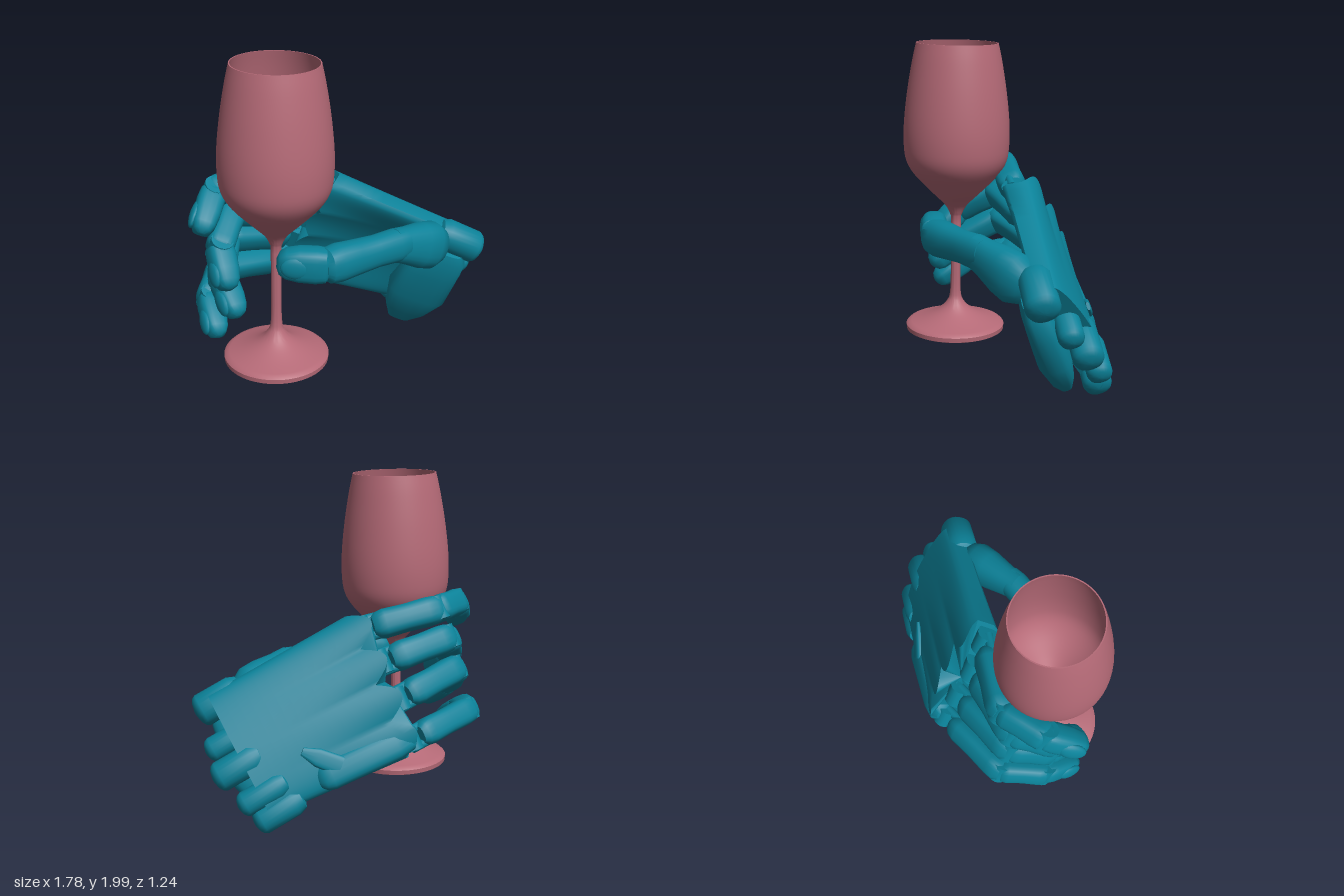
import * as THREE from 'three';
import { toCreasedNormals } from 'three/addons/utils/BufferGeometryUtils.js';

const V = (x, y, z) => new THREE.Vector3(x, y, z);
const teal = new THREE.MeshStandardMaterial({ color: 0x0b8299 });
const rose = new THREE.MeshStandardMaterial({ color: 0xb56a77, side: THREE.DoubleSide });

function add(group, name, geometry, material = teal) {
  const mesh = new THREE.Mesh(geometry, material);
  mesh.name = name;
  group.add(mesh);
}

// Closed skin through equal-sized rings of points
function loft(rings) {
  const m = rings[0].length, pos = [], idx = [];
  rings.forEach(r => r.forEach(p => pos.push(p.x, p.y, p.z)));
  for (let i = 0; i < rings.length - 1; i++)
    for (let j = 0; j < m; j++) {
      const k = (j + 1) % m, a = i * m + j, b = i * m + k;
      idx.push(a, b, a + m, b, b + m, a + m);
    }
  [0, rings.length - 1].forEach(i => {
    const c = rings[i].reduce((s, p) => s.add(p), V(0, 0, 0)).divideScalar(m), n = pos.length / 3;
    pos.push(c.x, c.y, c.z);
    for (let j = 0; j < m; j++) {
      const a = i * m + j, b = i * m + (j + 1) % m;
      if (i) idx.push(a, b, n); else idx.push(b, a, n);
    }
  });
  const g = new THREE.BufferGeometry();
  g.setAttribute('position', new THREE.Float32BufferAttribute(pos, 3));
  g.setIndex(idx);
  return toCreasedNormals(g, 0.7);
}

// Axes of a limb section: f along it, u across (hinge axis), v towards its back
function frame(a, b, hinge) {
  const f = b.clone().sub(a).normalize();
  const u = hinge.clone().addScaledVector(f, -hinge.dot(f)).normalize();
  return { f, u, v: f.clone().cross(u) };
}

// Soft-box segment from a to b; stations are [position 0..1, scale]
function segment(a, b, hinge, w, d, stations, p = 0.65) {
  const { u, v } = frame(a, b, hinge), m = 24;
  const pw = t => Math.sign(t) * Math.pow(Math.abs(t), p);
  return loft(stations.map(([t, s]) => Array.from({ length: m }, (_, j) => {
    const q = j / m * Math.PI * 2;
    return a.clone().lerp(b, t).addScaledVector(u, pw(Math.cos(q)) * w * s).addScaledVector(v, pw(Math.sin(q)) * d * s);
  })));
}
const PHALANX = [[-0.04, 0.65], [0.03, 0.9], [0.15, 1], [0.5, 0.95], [0.85, 1], [1, 0.95], [1.08, 0.7]];
const TIP = [[-0.05, 0.7], [0.03, 0.93], [0.25, 1], [0.65, 0.97], [0.95, 0.84], [1.1, 0.62], [1.17, 0.25]];
const ROD = [[0, 0.15], [0.03, 0.6], [0.08, 0.88], [0.15, 1], [0.8, 1], [0.95, 0.8], [1, 0.35]];

function rod(a, b, r) {
  const g = new THREE.CylinderGeometry(r, r, a.distanceTo(b), 16);
  const q = new THREE.Quaternion().setFromUnitVectors(V(0, 1, 0), b.clone().sub(a).normalize());
  const c = a.clone().lerp(b, 0.5);
  return g.applyQuaternion(q).translate(c.x, c.y, c.z);
}

function nail(group, a, b, hinge, w, d) {
  const { f, u, v } = frame(a, b, hinge);
  const g = new THREE.SphereGeometry(1, 16, 10).scale(w * 0.68, d * 0.3, a.distanceTo(b) * 0.36);
  g.applyMatrix4(new THREE.Matrix4().makeBasis(u, v, f));
  const c = a.clone().lerp(b, 0.72).addScaledVector(v, d * 0.76);
  add(group, 'nail', g.translate(c.x, c.y, c.z));
}

// Back-of-hand quad: s runs wrist to knuckles, t index to little finger, h into the palm
const A = V(-0.06, 1.22, -0.15), B = V(0.8, 0.77, -0.27), C = V(0.45, 0.14, -0.61), D = V(-0.38, 0.43, -0.47);
const INWARD = V(-0.09, -0.365, 0.927), KNUCKLES = A.clone().sub(D).normalize();
const onPalm = (s, t, h) => B.clone().lerp(A, s).lerp(C.clone().lerp(D, s), t).addScaledVector(INWARD, h);

function makePalm() {
  const palm = new THREE.Group();
  palm.name = 'palm';
  const n = 48, rings = [];
  for (let i = 0; i <= 14; i++) {
    const s = i / 14, ring = [], thick = 0.16 + 0.03 * s;
    for (let j = 0; j <= 2 * n + 1; j++) {
      const back = j <= n, t = back ? j / n : (2 * n + 1 - j) / n;
      const round = Math.sqrt(1 - Math.pow(Math.abs(2 * t - 1), 8));
      const ridge = Math.abs(Math.sin(4 * Math.PI * t)), flare = Math.pow(s, 3);
      const arch = 0.045 * Math.sin(Math.PI * t) + 0.025 * ridge * flare;
      const hollow = 0.07 * Math.sin(Math.PI * t) * Math.sin(Math.PI * s);
      const half = thick / 2 * (0.5 + 0.5 * round);
      const h = back ? thick / 2 - half - arch : thick / 2 + half - hollow;
      ring.push(onPalm(s + flare * (back ? 0.13 : 0.06) * (ridge - 0.4), t, h));
    }
    rings.push(ring);
  }
  add(palm, 'palmBody', loft(rings));

  // Rounded bone ends at the wrist
  const along = A.clone().sub(B).normalize().multiplyScalar(0.32);
  [[0.87, 0.63, -0.2, 0.1], [0.81, 0.44, -0.36, 0.075], [0.77, 0.31, -0.46, 0.09], [0.63, 0.17, -0.54, 0.075], [0.54, 0.07, -0.54, 0.085]]
    .forEach(([x, y, z, r]) => {
      const end = V(x, y, z);
      add(palm, 'wristKnob', segment(end, end.clone().add(along), KNUCKLES, r, r, ROD, 0.9));
    });

  // Raised bar and wing along the little-finger edge
  add(palm, 'edgeBar', segment(onPalm(0.35, 0.9, 0.03), onPalm(1.06, 0.89, 0.04), KNUCKLES, 0.09, 0.075, ROD));
  add(palm, 'edgeWing', segment(onPalm(0.54, 0.88, -0.02), onPalm(0.36, 0.68, -0.05), INWARD, 0.025, 0.06,
    [[0, 1], [0.6, 0.9], [1, 0.4]]));

  // Heel of the hand carrying the thumb, flaring to a low corner
  add(palm, 'thumbMount', segment(V(0.65, 0.66, -0.14), V(0.37, 0.05, -0.36), V(0.87, -0.45, -0.1), 0.19, 0.1,
    [[0, 0.6], [0.08, 0.85], [0.3, 0.95], [0.6, 1.05], [0.85, 0.75], [1, 0.4]]));
  return palm;
}

// Finger joints: knuckle, middle joint, end joint, tip
const FINGERS = {
  indexFinger: [0.088, V(-0.12, 1.09, -0.08), V(-0.58, 1.19, -0.02), V(-0.75, 1.19, 0.2), V(-0.79, 1.06, 0.41)],
  middleFinger: [0.09, V(-0.22, 0.9, -0.16), V(-0.66, 1.0, 0.03), V(-0.72, 0.87, 0.28), V(-0.66, 0.71, 0.43)],
  ringFinger: [0.088, V(-0.31, 0.7, -0.27), V(-0.71, 0.81, 0.01), V(-0.72, 0.67, 0.26), V(-0.62, 0.53, 0.43)],
  littleFinger: [0.083, V(-0.375, 0.48, -0.36), V(-0.78, 0.56, -0.05), V(-0.81, 0.5, 0.22), V(-0.74, 0.38, 0.41)],
};

function makeFinger(name, [w, ...j]) {
  const finger = new THREE.Group();
  finger.name = name;
  // Twin links bridge the gap between knuckle and first segment
  const start = j[0].clone().lerp(j[1], 0.18);
  [-1, 1].forEach(side => {
    const off = KNUCKLES.clone().multiplyScalar(side * w * 0.62);
    add(finger, 'knuckleLink', rod(j[0].clone().add(off), start.clone().lerp(j[1], 0.2).add(off), w * 0.32));
  });
  const ends = [start, ...j.slice(1)];
  ['proximalSegment', 'middleSegment', 'fingertip'].forEach((part, i) => {
    const k = 1 - 0.04 * i;
    add(finger, part, segment(ends[i], ends[i + 1], KNUCKLES, w * k, w * k, i === 2 ? TIP : PHALANX));
  });
  // Hinge pins
  j.slice(0, 3).forEach(c => {
    const off = KNUCKLES.clone().multiplyScalar(w * 0.8);
    add(finger, 'hinge', rod(c.clone().sub(off), c.clone().add(off), w * 0.75));
  });
  nail(finger, j[2], j[3], KNUCKLES, w, w);
  return finger;
}

function makeThumb() {
  const thumb = new THREE.Group();
  thumb.name = 'thumb';
  const hinge = V(0, -1, 0), base = V(0.56, 0.72, -0.08), mid = V(0.32, 0.83, 0.15), joint = V(-0.08, 0.83, 0.42), tip = V(-0.33, 0.85, 0.43);
  add(thumb, 'thumbBase', segment(base, mid, hinge, 0.15, 0.115,
    [[-0.25, 0.4], [-0.15, 0.75], [0.1, 1], [0.4, 0.95], [0.8, 0.76], [1.1, 0.67]], 0.85));
  add(thumb, 'thumbSegment', segment(mid, joint, hinge, 0.112, 0.096,
    [[-0.15, 0.8], [0, 0.92], [0.3, 0.87], [0.6, 0.95], [0.85, 1.03], [1, 0.95], [1.06, 0.65]], 0.85));
  add(thumb, 'thumbTip', segment(joint, tip, hinge, 0.108, 0.085, TIP));
  nail(thumb, joint, tip, hinge, 0.1, 0.085);
  return thumb;
}

function makeGlass() {
  const glass = new THREE.Group();
  glass.name = 'wineGlass';
  const points = pts => pts.map(p => new THREE.Vector2(...p));
  const smooth = (pts, n) => new THREE.SplineCurve(points(pts)).getPoints(n);
  const foot = points([[0, 0.03], [0.15, 0.02], [0.3, 0], [0.317, 0.008], [0.319, 0.036]]);
  const stem = smooth([[0.305, 0.05], [0.2, 0.085], [0.11, 0.13], [0.055, 0.185], [0.034, 0.26], [0.031, 0.5], [0.033, 0.76]], 24);
  const bowl = smooth([[0.033, 0.76], [0.07, 0.83], [0.16, 0.92], [0.265, 1.03], [0.318, 1.12],
    [0.334, 1.23], [0.331, 1.38], [0.31, 1.57], [0.28, 1.75], [0.256, 1.86]], 36);
  // Thin wall: the bowl's curve again, slightly inside, closed at the bottom
  const inside = bowl.filter(p => p.y > 0.81).reverse().map(p => new THREE.Vector2(p.x - 0.007, p.y));
  const profile = [...foot, ...stem, ...bowl.slice(1), ...inside, new THREE.Vector2(0, 0.81)];
  add(glass, 'glassBody', toCreasedNormals(new THREE.LatheGeometry(profile, 56), 0.7), rose);
  glass.position.set(-0.4, 0.135, 0.305);
  glass.rotation.set(-0.018, 0, -0.021);
  return glass;
}

export function createModel() {
  const model = new THREE.Group();
  model.name = 'handHoldingGlass';
  const hand = new THREE.Group();
  hand.name = 'hand';
  hand.add(makePalm(), makeThumb());
  for (const [name, spec] of Object.entries(FINGERS)) hand.add(makeFinger(name, spec));
  model.add(hand, makeGlass());
  return model;
}
